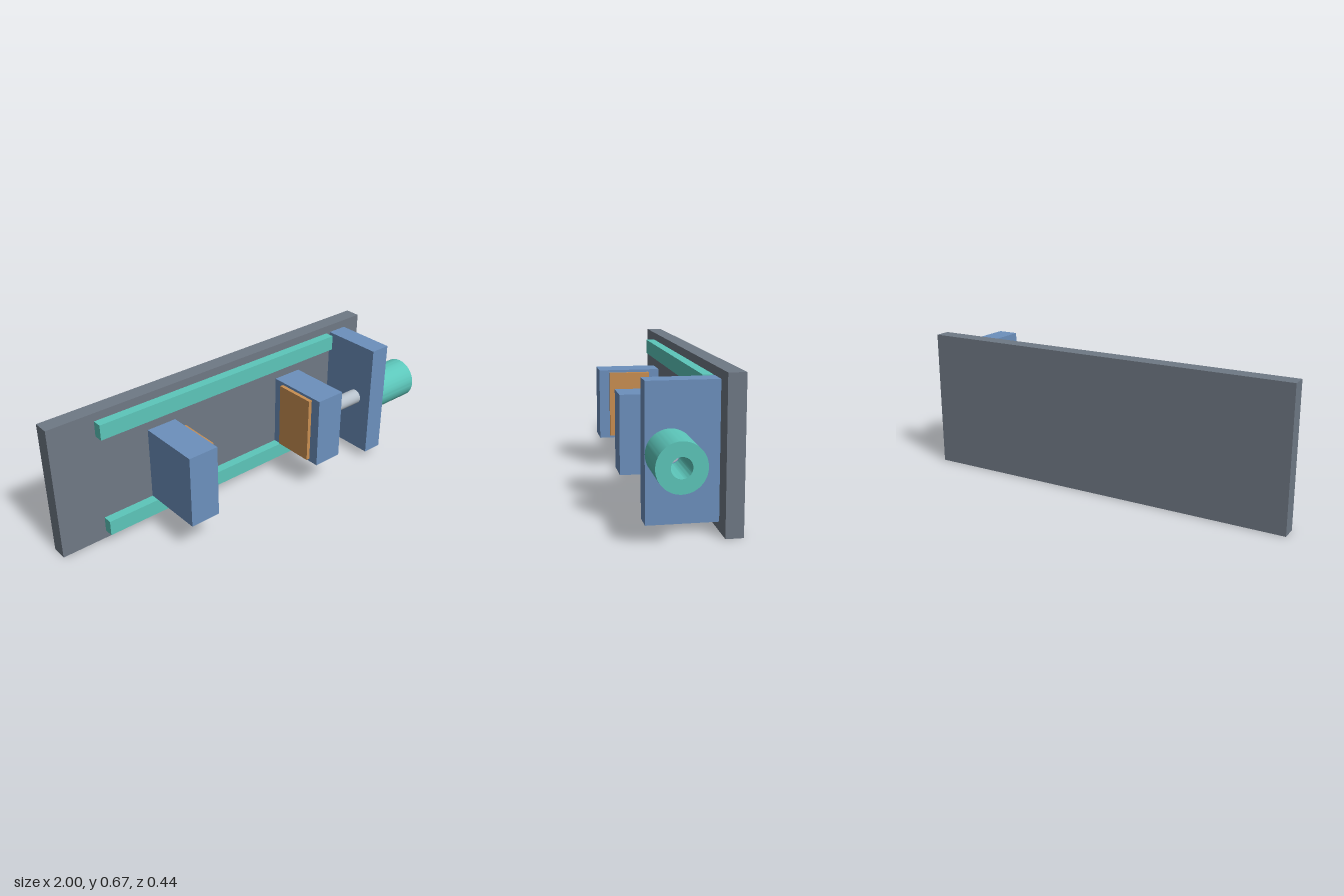
import * as THREE from 'three';
import { toCreasedNormals } from 'three/addons/utils/BufferGeometryUtils.js';

const material = (name, color) => {
  const m = new THREE.MeshStandardMaterial({ color });
  m.name = name;
  return m;
};

export function createModel() {
  const slate = material('slate', 0x6f7985);
  const blue = material('blue', 0x6c90bd);
  const teal = material('teal', 0x5cc6ba);
  const orange = material('orange', 0xc98f52);
  const steel = material('steel', 0xb6c0ca);

  const model = new THREE.Group();
  model.name = 'clampSlide';

  const add = (name, geometry, mat) => {
    const mesh = new THREE.Mesh(geometry, mat);
    mesh.name = name;
    model.add(mesh);
    return mesh;
  };

  // Box given by its limits on each axis
  const box = (name, mat, [x0, x1], [y0, y1], [z0, z1]) =>
    add(name, new THREE.BoxGeometry(x1 - x0, y1 - y0, z1 - z0), mat)
      .position.set((x0 + x1) / 2, (y0 + y1) / 2, (z0 + z1) / 2);

  // Back plate and the two guide rails
  box('backPlate', slate, [-1, 0.868], [0, 0.674], [-0.219, -0.142]);
  box('lowerRail', teal, [-0.77, 0.636], [0.04, 0.116], [-0.142, -0.096]);
  box('upperRail', teal, [-0.77, 0.636], [0.558, 0.634], [-0.142, -0.096]);

  // Jaws with their gripping pads
  const jawY = [0.156, 0.518], jawZ = [-0.096, 0.219];
  const padY = [0.17, 0.505], padZ = [-0.04, 0.167];
  box('fixedJaw', blue, [-0.53, -0.378], jawY, jawZ);
  box('fixedPad', orange, [-0.378, -0.358], padY, padZ);
  box('movingJaw', blue, [0.242, 0.396], jawY, jawZ);
  box('movingPad', orange, [0.223, 0.242], padY, padZ);

  // Bearing block at the end of the slide
  box('endBlock', blue, [0.661, 0.765], [0.04, 0.634], [-0.142, 0.168]);

  // Drive rod through the end block
  const axisY = 0.337, axisZ = 0.065;
  const rod = add('driveRod', new THREE.CylinderGeometry(0.038, 0.038, 0.376, 48), steel);
  rod.rotation.z = -Math.PI / 2;
  rod.position.set(0.584, axisY, axisZ);

  // Hollow drive sleeve
  const ring = new THREE.Shape().absarc(0, 0, 0.103, 0, Math.PI * 2, false);
  ring.holes.push(new THREE.Path().absarc(0, 0, 0.043, 0, Math.PI * 2, true));
  const sleeveGeometry = toCreasedNormals(new THREE.ExtrudeGeometry(ring, {
    depth: 0.235, bevelEnabled: false, curveSegments: 48,
  }), 0.6);
  const sleeve = add('driveSleeve', sleeveGeometry, teal);
  sleeve.rotation.y = Math.PI / 2;
  sleeve.position.set(0.765, axisY, axisZ);

  return model;
}
